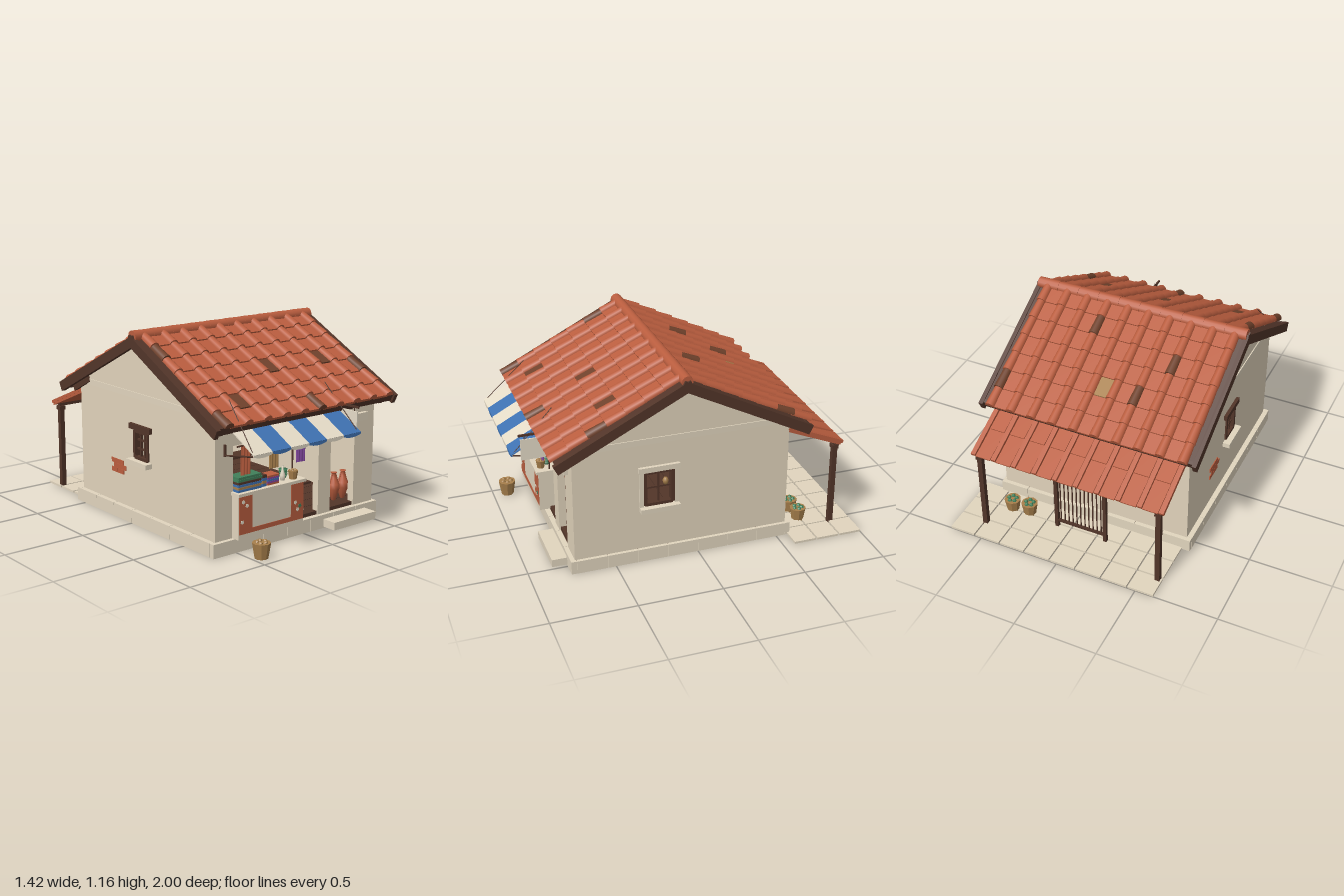
import * as THREE from 'three';

const material = (name, color) => {
  const m = new THREE.MeshStandardMaterial({ color });
  m.name = name;
  return m;
};
const wall = material('plaster', 0xe1d3bb), stone = material('paleStone', 0xe1d5be);
const tile = material('terracotta', 0xbb5e3f), darkTile = material('agedTile', 0x70422c);
const wood = material('darkWood', 0x523529), straw = material('straw', 0xa8804c);
const blue = material('blueCloth', 0x3f72b2), purple = material('purpleCloth', 0x83489f);
const green = material('greenPaint', 0x41805a), cream = material('creamCloth', 0xe6dcc8);

const RIDGE_Z = 0.09, RIDGE_Y = 1.12, MID_X = -0.033, SLOPE = 0.468, COL = 0.133;

function add(parent, name, geometry, mat, x = 0, y = 0, z = 0) {
  const m = new THREE.Mesh(geometry, mat);
  m.name = name;
  m.position.set(x, y, z);
  parent.add(m);
  return m;
}
// Box given by its limits on each axis
function block(parent, name, mat, x0, x1, y0, y1, z0, z1) {
  return add(parent, name, new THREE.BoxGeometry(x1 - x0, y1 - y0, z1 - z0), mat,
    (x0 + x1) / 2, (y0 + y1) / 2, (z0 + z1) / 2);
}
function rod(parent, name, mat, a, b, r) {
  const p = new THREE.Vector3(...a), q = new THREE.Vector3(...b);
  const m = add(parent, name, new THREE.CylinderGeometry(r, r, p.distanceTo(q), 6), mat);
  m.position.copy(p).lerp(q, 0.5);
  m.quaternion.setFromUnitVectors(new THREE.Vector3(0, 1, 0), q.sub(p).normalize());
}
function outline(points) {
  return new THREE.Shape(points.map(p => new THREE.Vector2(...p)));
}
function rectHole(shape, x0, x1, y0, y1) {
  shape.holes.push(new THREE.Path([[x0, y0], [x0, y1], [x1, y1], [x1, y0]].map(p => new THREE.Vector2(...p))));
}
const extrude = (shape, depth) => new THREE.ExtrudeGeometry(shape, { depth, bevelEnabled: false });
function lathe(parent, name, mat, points, x, y, z) {
  return add(parent, name, new THREE.LatheGeometry(points.map(p => new THREE.Vector2(...p)), 14), mat, x, y, z);
}

function buildBase(g) {
  const b = new THREE.Group();
  b.name = 'stoneBase';
  g.add(b);
  // Raised floor inside a hollow ring of stones
  block(b, 'floor', wood, -0.63, 0.57, 0.068, 0.079, -0.56, 0.74);
  for (let i = 0; i < 13; i++) {
    const z = -0.52 + i * 0.094;
    block(b, 'floorPlank', wood, -0.59, 0.53, 0.079, 0.088, z, z + 0.09);
  }
  const gap = 0.0012, t = 0.032;
  for (let i = 0; i < 7; i++) {
    const w = 1.25 / 7, x = -0.66 + i * w;
    for (const z of [-0.585, 0.765 - t]) block(b, 'baseStone', stone, x + gap, x + w - gap, 0, 0.08, z, z + t);
    const l = (1.35 - 2 * t) / 7, zz = -0.585 + t + i * l;
    for (const x0 of [-0.66, 0.59 - t]) block(b, 'baseStone', stone, x0, x0 + t, 0, 0.08, zz + gap, zz + l - gap);
  }
  block(b, 'doorStep', stone, 0.155, 0.49, 0.008, 0.054, 0.765, 0.855);
  // Patio slabs behind the house
  for (let i = 0; i < 8; i++) for (let k = 0; k < 3; k++) {
    const x = -0.61 + i * 0.1655, z = -1 + k * 0.147;
    block(g, 'patioSlab', stone, x, x + 0.157, 0, 0.013, z, z + 0.136);
  }
}

function sideWall(g, name, outerX, z0, z1, y0, y1) {
  const top = z => 1.085 - 0.506 * Math.abs(z - RIDGE_Z);
  const s = outline([[-0.56, 0.08], [0.74, 0.08], [0.74, top(0.74)], [RIDGE_Z, 1.085], [-0.56, top(-0.56)]]);
  rectHole(s, z0, z1, y0, y1);
  add(g, name, extrude(s, 0.04).rotateY(-Math.PI / 2), wall, outerX);
}

// Window frame with bars, centred on the origin and facing +z
function windowFrame(g, name, w, h, bars, shelves, lintelMat) {
  const f = new THREE.Group();
  f.name = name;
  g.add(f);
  for (const s of [-1, 1]) {
    block(f, 'frameSide', wood, s * w / 2 - 0.01, s * w / 2 + 0.01, -h / 2, h / 2, -0.035, 0.01);
    block(f, 'frameRail', wood, -w / 2, w / 2, s * h / 2 - 0.01, s * h / 2 + 0.01, -0.035, 0.009);
  }
  for (let i = 1; i <= bars; i++) {
    const x = -w / 2 + w * i / (bars + 1);
    block(f, 'windowBar', wood, x - 0.005, x + 0.005, -h / 2, h / 2, -0.02, -0.005);
  }
  for (let i = 1; i <= shelves; i++) {
    const y = -h / 2 + h * i / (shelves + 1);
    block(f, 'windowCrossbar', wood, -w / 2, w / 2, y - 0.005, y + 0.005, -0.02, -0.006);
  }
  block(f, 'lintel', lintelMat, -w / 2 - 0.04, w / 2 + 0.04, h / 2 + 0.008, h / 2 + 0.04, -0.03, 0.02);
  block(f, 'sill', stone, -w / 2 - 0.035, w / 2 + 0.035, -h / 2 - 0.037, -h / 2 - 0.008, -0.03, 0.044);
  return f;
}

function buildWalls(g) {
  sideWall(g, 'leftWall', 0.57, 0.145, 0.325, 0.36, 0.575);
  sideWall(g, 'rightWall', -0.59, 0.0, 0.14, 0.4, 0.56);
  const back = outline([[-0.59, 0.08], [0.53, 0.08], [0.53, 0.75], [-0.59, 0.75]]);
  rectHole(back, 0.045, 0.21, 0.39, 0.54);
  add(g, 'backWall', extrude(back, 0.04), wall, 0, 0, -0.56);
  // Front piers and header
  for (const [a, b] of [[-0.59, -0.505], [0.13, 0.225], [0.415, 0.53]])
    block(g, 'frontPier', wall, a, b, 0.08, 0.6, 0.695, 0.74);
  block(g, 'frontHeader', wall, -0.59, 0.53, 0.6, 0.75, 0.695, 0.74);
  block(g, 'doorLintel', stone, 0.195, 0.495, 0.595, 0.64, 0.7, 0.765);
  for (const [a, b] of [[-0.03, 0.13], [0.225, 0.415]]) block(g, 'threshold', wood, a, b, 0.08, 0.1, 0.68, 0.73);
  for (const x of [-0.63, 0.57]) block(g, 'gableBand', stone, x - 0.006, x + 0.006, 0.75, 0.785, -0.53, 0.71);

  const left = windowFrame(g, 'leftWindow', 0.165, 0.205, 1, 1, stone);
  left.position.set(0.57, 0.466, 0.235);
  left.rotation.y = Math.PI / 2;
  for (const s of [-1, 1]) block(left, 'windowJamb', stone, s * 0.105 - 0.0125, s * 0.105 + 0.0125, -0.11, 0.112, -0.03, 0.012);
  const right = windowFrame(g, 'rightWindow', 0.125, 0.16, 2, 2, wood);
  right.position.set(-0.63, 0.48, 0.07);
  right.rotation.y = -Math.PI / 2;
  const rear = windowFrame(g, 'backWindow', 0.155, 0.14, 1, 2, wood);
  rear.position.set(0.128, 0.465, -0.56);
  rear.rotation.y = Math.PI;
  lathe(left, 'windowJar', straw, [[0, 0], [0.012, 0], [0.018, 0.022], [0.01, 0.04], [0, 0.04]], 0.045, 0.006, -0.014);
  // Exposed bricks
  for (let r = 0; r < 3; r++) for (let i = 0; i < 2; i++) {
    const z = -0.235 + i * 0.062 + (r % 2) * 0.025, y = 0.265 + r * 0.028;
    block(g, 'exposedBrick', tile, -0.635, -0.628, y, y + 0.027, z, z + 0.061);
  }
}

function buildRoof(g) {
  const cover = new THREE.CylinderGeometry(0.031, 0.026, 0.135, 8, 1, false, Math.PI / 2, Math.PI).rotateX(Math.PI / 2);
  const pan = new THREE.BoxGeometry(0.112, 0.014, 0.133);
  // Aged tiles, as column,row
  const aged = {
    '1': { cover: ['0,1', '9,4', '5,6', '0,6'], pan: ['4,3', '7,3', '1,5'] },
    '-1': { cover: ['3,4', '2,2', '6,1', '9,5'], pan: [] },
  };
  for (const s of [1, -1]) {
    const side = new THREE.Group();
    side.name = s > 0 ? 'frontRoof' : 'backRoof';
    side.position.set(MID_X, RIDGE_Y, RIDGE_Z);
    side.rotation.set(SLOPE, s > 0 ? 0 : Math.PI, 0, 'YXZ');
    g.add(side);
    block(side, 'roofDeck', wood, -0.655, 0.655, -0.02, 0, 0, 0.845);
    for (const x of [-0.665, 0.665]) block(side, 'bargeBoard', wood, x - 0.013, x + 0.013, -0.052, 0.006, -0.02, 0.858);
    block(side, 'eaveBoard', wood, -0.67, 0.67, -0.043, 0.004, 0.825, 0.845);
    for (let i = 0; i < 6; i++) block(side, 'rafterTail', wood, -0.612 + i * 0.24, -0.588 + i * 0.24, -0.07, -0.02, 0.64, 0.822);
    for (let k = 0; k < 7; k++) for (let i = 0; i < 10; i++) {
      const z = 0.06 + k * 0.122, key = i + ',' + k;
      const c = add(side, 'coverTile', cover, aged[s].cover.includes(key) ? darkTile : tile, s * COL * (i - 4.5), 0.01, z);
      c.rotation.x = -0.04;
      if (i === 9) continue;
      const m = s < 0 && key === '4,4' ? straw : aged[s].pan.includes(key) ? darkTile : tile;
      add(side, 'panTile', pan, m, s * COL * (i - 4), 0.009, z).rotation.x = -0.07;
    }
  }
  for (let i = 0; i < 10; i++) {
    const r = add(g, 'ridgeTile', new THREE.CylinderGeometry(0.036, 0.034, 0.137, 12), tile, MID_X + COL * (i - 4.5), 1.124, RIDGE_Z);
    r.rotation.z = Math.PI / 2;
  }
}

function buildPorch(g) {
  const p = new THREE.Group(), step = 0.13;
  p.name = 'porchRoof';
  p.position.set(-0.028, 0.695, -0.555);
  p.rotation.set(0.393, Math.PI, 0, 'YXZ');
  g.add(p);
  block(p, 'porchDeck', tile, -0.597, 0.597, -0.012, 0.002, 0, 0.375);
  for (let i = 0; i < 9; i++) for (let k = 0; k < 2; k++)
    add(p, 'porchPan', new THREE.BoxGeometry(0.092, 0.008, 0.195), tile, step * (i - 4), 0.008, 0.1 + k * 0.19).rotation.x = -0.04;
  for (let i = 0; i < 10; i++) block(p, 'porchRib', tile, step * (i - 4.5) - 0.014, step * (i - 4.5) + 0.014, 0.002, 0.02, 0, 0.383);
  for (const x of [-0.585, 0.535]) {
    block(g, 'porchPost', wood, x - 0.015, x + 0.015, 0, 0.53, -0.89, -0.86);
    block(g, 'postCap', wood, x - 0.02, x + 0.02, 0.51, 0.535, -0.895, -0.855);
  }
  block(g, 'porchBeam', wood, -0.6, 0.55, 0.535, 0.553, -0.885, -0.865);
  // Barred gate
  for (const x of [-0.18, 0.135]) block(g, 'gatePost', wood, x - 0.011, x + 0.011, 0, 0.405, -0.733, -0.711);
  for (const y of [0.05, 0.375]) block(g, 'gateRail', wood, -0.18, 0.135, y, y + 0.018, -0.728, -0.716);
  for (let i = 1; i < 12; i++) rod(g, 'gateBar', wood, [-0.18 + i * 0.02625, 0.05, -0.722], [-0.18 + i * 0.02625, 0.38, -0.722], 0.004);
  for (const [x, z] of [[0.45, -0.7], [0.34, -0.69]]) basket(g, x, z, 1, 0, green);
}

// Faceted tub with a filling
function basket(g, x, z, s, y, filling) {
  const b = new THREE.Group();
  b.name = 'basket';
  b.position.set(x, y, z);
  b.scale.setScalar(s);
  g.add(b);
  const tub = new THREE.CylinderGeometry(0.05, 0.036, 0.085, 9).toNonIndexed();
  tub.computeVertexNormals();
  add(b, 'tub', tub, straw, 0, 0.0425, 0);
  for (let i = 0; i < 5; i++)
    add(b, 'filling', new THREE.IcosahedronGeometry(0.014, 0), filling, 0.024 * Math.cos(i * 1.26), 0.085, 0.024 * Math.sin(i * 1.26));
}

function buildShop(g) {
  // Counter with painted panels
  block(g, 'counter', stone, -0.51, -0.035, 0.08, 0.33, 0.69, 0.795);
  block(g, 'counterTop', stone, -0.52, -0.028, 0.328, 0.345, 0.68, 0.808);
  for (const [a, b, y0, y1] of [[-0.507, -0.415, 0.11, 0.326], [-0.13, -0.038, 0.11, 0.326], [-0.415, -0.13, 0.11, 0.136]])
    block(g, 'counterPaint', tile, a, b, y0, y1, 0.794, 0.798);
  for (const [x, y, m] of [[-0.48, 0.293, cream], [-0.453, 0.268, cream], [-0.487, 0.18, cream], [-0.1, 0.215, cream], [-0.082, 0.172, cream], [-0.066, 0.19, green]])
    add(g, 'paintChip', new THREE.CylinderGeometry(0.012, 0.012, 0.003, 5).rotateX(Math.PI / 2), m, x, y, 0.799);
  // Folded cloth and wares on the counter
  [blue, straw, blue, wood, green, green].forEach((m, i) =>
    block(g, 'foldedCloth', m, -0.505, -0.335 - (i % 2) * 0.006, 0.346 + i * 0.0142, 0.359 + i * 0.0142, 0.7, 0.785));
  [blue, straw, blue, wood].forEach((m, i) => block(g, 'foldedCloth', m, -0.33, -0.298, 0.346 + i * 0.0165, 0.362 + i * 0.0165, 0.71, 0.78));
  [tile, purple, blue, purple, tile].forEach((m, i) => block(g, 'foldedCloth', m, -0.292, -0.207, 0.346 + i * 0.011, 0.3565 + i * 0.011, 0.71, 0.78));
  lathe(g, 'paleJar', cream, [[0, 0], [0.012, 0], [0.016, 0.03], [0.006, 0.06], [0.005, 0.085], [0, 0.085]], -0.155, 0.345, 0.75);
  for (let i = 0; i < 3; i++) lathe(g, 'greenBowl', green, [[0, 0], [0.015, 0], [0.026, 0.022], [0, 0.016]], -0.125, 0.345 + i * 0.016, 0.72);
  basket(g, -0.09, 0.765, 0.58, 0.345, straw);
  rod(g, 'counterPole', wood, [-0.055, 0.345, 0.72], [-0.055, 0.6, 0.72], 0.005);
  basket(g, -0.445, 0.91, 1.05, 0, straw);

  // Inner shelves, bowls and tall jars
  block(g, 'upperShelf', wood, -0.505, -0.05, 0.505, 0.517, 0.6, 0.69);
  block(g, 'lowerShelf', wood, -0.035, 0.13, 0.255, 0.267, 0.58, 0.68);
  const bowl = [[0, 0], [0.02, 0], [0.032, 0.02], [0, 0.016]];
  for (const [m, x, y] of [[blue, -0.325, 0.517], [green, -0.13, 0.517], [tile, 0, 0.267]]) lathe(g, 'bowl', m, bowl, x, y, 0.64);
  for (const x of [0.352, 0.425]) {
    lathe(g, 'tallJar', tile, [[0, 0], [0.013, 0], [0.036, 0.07], [0.034, 0.1], [0.014, 0.14], [0.013, 0.165], [0.02, 0.17], [0, 0.17]], x, 0.1, 0.64);
    for (const s of [-1, 1]) rod(g, 'jarHandle', tile, [x + s * 0.034, 0.205, 0.64], [x + s * 0.014, 0.262, 0.64], 0.004);
  }
  // Hanging cloths and rings
  for (const [m, x] of [[tile, -0.44], [straw, -0.237], [purple, -0.037]]) {
    const cloth = new THREE.BoxGeometry(0.07, 0.165, 0.006, 14, 1, 1), p = cloth.attributes.position;
    for (let i = 0; i < p.count; i++) p.setZ(i, p.getZ(i) + 0.004 * Math.sin(p.getX(i) * 300));
    cloth.computeVertexNormals();
    add(g, 'hangingCloth', cloth, m, x, 0.518, 0.768);
  }
  for (const [m, x] of [[blue, -0.34], [green, -0.135], [cream, 0.065]])
    add(g, 'hangingRing', new THREE.TorusGeometry(0.022, 0.006, 8, 18), m, x, 0.57, 0.765);
  rod(g, 'hangingRail', wood, [-0.5, 0.6, 0.768], [0.13, 0.6, 0.768], 0.005);

  // Striped awning with a scalloped edge
  const profile = outline([[0.745, 0.742], [0.87, 0.682], [0.996, 0.615], [0.994, 0.609], [0.87, 0.676], [0.745, 0.736]]);
  const flap = outline([[0, 0.613], [0, 0.604]]);
  flap.quadraticCurveTo(0.065, 0.582, 0.13, 0.604);
  flap.lineTo(0.13, 0.613);
  for (let i = 0; i < 6; i++) {
    const x = -0.577 + i * 0.13, m = i % 2 ? blue : cream;
    add(g, 'awningStripe', extrude(profile, 0.13).rotateY(-Math.PI / 2), m, x + 0.13);
    add(g, 'awningFlap', extrude(flap, 0.006), m, x, 0, 0.99);
  }
  for (const [x, hx] of [[-0.57, -0.535], [0.192, 0.165]]) {
    rod(g, 'awningArm', wood, [x, 0.56, 0.745], [x, 0.604, 0.985], 0.005);
    rod(g, 'awningBracket', wood, [x, 0.555, 0.75], [x, 0.62, 0.75], 0.008);
    rod(g, 'awningChain', wood, [x, 0.615, 0.985], [hx, 0.86, 0.74], 0.0025);
  }
  // Blank hanging board on a bracket
  block(g, 'hangingBoard', cream, 0.221, 0.229, 0.585, 0.715, 0.755, 0.945);
  block(g, 'boardBracket', wood, 0.22, 0.23, 0.735, 0.747, 0.74, 0.955);
  for (const z of [0.78, 0.92]) rod(g, 'boardHanger', wood, [0.225, 0.71, z], [0.225, 0.74, z], 0.003);
}

export function createModel() {
  const g = new THREE.Group();
  g.name = 'marketHouse';
  buildBase(g);
  buildWalls(g);
  buildRoof(g);
  buildPorch(g);
  buildShop(g);
  return g;
}
